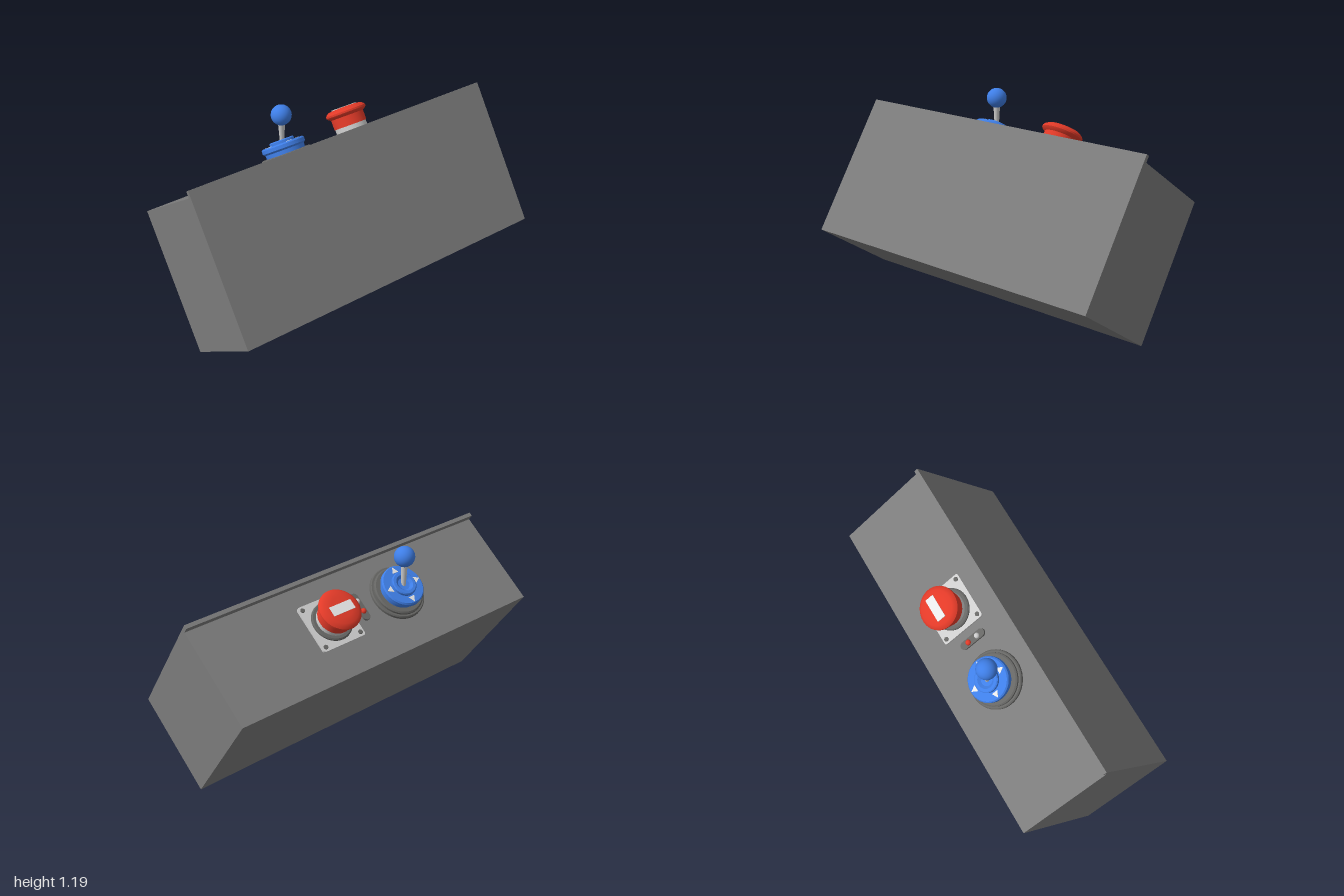
import * as THREE from 'three';
import { toCreasedNormals } from 'three/addons/utils/BufferGeometryUtils.js';

const material = (name, color) => {
  const m = new THREE.MeshStandardMaterial({ color });
  m.name = name;
  return m;
};

export function createModel() {
  const gray = material('case gray', 0x7c7c7c);
  const darkGray = material('dark gray', 0x666664);
  const light = material('light metal', 0xcccccc);
  const blue = material('blue plastic', 0x3f7fe8);
  const red = material('red plastic', 0xe23a28);
  const white = material('white print', 0xf0f0f0);

  const add = (parent, name, geometry, mat, x = 0, y = 0, z = 0) => {
    const mesh = new THREE.Mesh(geometry, mat);
    mesh.name = name;
    mesh.position.set(x, y, z);
    parent.add(mesh);
    return mesh;
  };
  const group = (parent, name, x, y, z) => {
    const g = new THREE.Group();
    g.name = name;
    g.position.set(x, y, z);
    parent.add(g);
    return g;
  };
  // Round part from a profile of [radius, height] pairs, bottom to top
  const turned = (profile, sides = 48) => toCreasedNormals(
    new THREE.LatheGeometry(profile.map(([r, y]) => new THREE.Vector2(r, y)), sides), 0.5);
  // Flat shape in the xz plane, extruded upwards
  const slab = (shape, depth) => new THREE.ExtrudeGeometry(shape, { depth, bevelEnabled: false, curveSegments: 16 })
    .rotateX(-Math.PI / 2);

  const model = new THREE.Group();
  model.name = 'controlBox';
  const TILT = 0.583;
  const TOP = 0.83;
  const MID = 0.327;

  // Everything sits in a case tipped back on its rear lower edge
  const tipped = group(model, 'tippedCase', 0, 0, -0.022);
  tipped.rotation.x = -TILT;

  // Case: side profile with a raised lip along the front
  const side = new THREE.Shape();
  side.moveTo(0, 0);
  for (const [z, y] of [[0.6, 0], [0.6, 0.868], [0.577, 0.868], [0.577, TOP], [0, TOP]]) side.lineTo(z, y);
  side.closePath();
  const caseGeometry = new THREE.ExtrudeGeometry(side, { depth: 2, bevelEnabled: false });
  caseGeometry.rotateY(-Math.PI / 2).translate(1, 0, 0);
  add(tipped, 'case', caseGeometry, gray);

  // Joystick: stepped base, blue dial, arrows, upright stick and ball
  const joystick = group(tipped, 'joystick', -0.24, TOP, MID);
  add(joystick, 'joystickBase', turned([
    [0.162, 0], [0.162, 0.014], [0.156, 0.02], [0.146, 0.02], [0.146, 0.032], [0.138, 0.038], [0, 0.038],
  ]), darkGray);
  add(joystick, 'joystickDial', turned([
    [0.112, 0.03], [0.114, 0.06], [0.125, 0.07], [0.125, 0.09], [0.118, 0.098], [0.072, 0.098],
    [0.072, 0.112], [0.066, 0.117], [0.05, 0.117], [0.035, 0.104], [0, 0.1],
  ]), blue);
  const arrow = new THREE.Shape();
  arrow.moveTo(-0.02, 0.08);
  arrow.lineTo(0.02, 0.08);
  arrow.lineTo(0, 0.116);
  arrow.closePath();
  const arrowGeometry = slab(arrow, 0.003);
  for (let i = 0; i < 4; i++) {
    add(joystick, 'joystickArrow', arrowGeometry, white, 0, 0.097, 0).rotation.y = i * Math.PI / 2;
  }
  const stick = group(joystick, 'stick', 0, 0.1, 0);
  stick.rotation.x = TILT;
  add(stick, 'stickShaft', new THREE.CylinderGeometry(0.02, 0.012, 0.14, 24), light, 0, 0.065, 0);
  add(stick, 'stickBall', new THREE.SphereGeometry(0.058, 32, 24), blue, 0, 0.173, 0);

  // Push button: square plate with screws, collar and mushroom head
  const button = group(tipped, 'pushButton', 0.232, TOP, MID - 0.006);
  const h = 0.142, c = 0.015;
  const plate = new THREE.Shape();
  plate.moveTo(-h + c, -h);
  plate.absarc(h - c, -h + c, c, -Math.PI / 2, 0);
  plate.absarc(h - c, h - c, c, 0, Math.PI / 2);
  plate.absarc(-h + c, h - c, c, Math.PI / 2, Math.PI);
  plate.absarc(-h + c, -h + c, c, Math.PI, Math.PI * 1.5);
  add(button, 'buttonPlate', slab(plate, 0.014), light);
  for (const x of [-1, 1]) for (const z of [-1, 1]) {
    add(button, 'plateScrew', new THREE.CylinderGeometry(0.013, 0.013, 0.008, 16), darkGray, x * 0.118, 0.014, z * 0.118);
  }
  add(button, 'buttonRing', turned([[0.117, 0.01], [0.117, 0.022], [0.11, 0.028], [0.09, 0.028]]), darkGray);
  add(button, 'buttonCollar', turned([[0.094, 0.01], [0.094, 0.062], [0, 0.062]]), light);
  add(button, 'buttonHead', turned([
    [0, 0.06], [0.098, 0.06], [0.098, 0.118], [0.114, 0.128], [0.12, 0.136], [0.12, 0.146],
    [0.113, 0.155], [0.097, 0.166], [0.06, 0.17], [0, 0.171],
  ]), red);
  add(button, 'buttonLabel', new THREE.BoxGeometry(0.14, 0.005, 0.055), white, 0, 0.1705, -0.005);

  // Indicator: rounded strip with two lamps
  const indicator = group(tipped, 'indicator', 0.02, TOP, 0.335);
  const strip = new THREE.Shape();
  strip.absarc(0, 0.062, 0.023, 0, Math.PI);
  strip.absarc(0, -0.062, 0.023, Math.PI, Math.PI * 2);
  strip.closePath();
  add(indicator, 'indicatorStrip', slab(strip, 0.012), darkGray);
  const lamp = new THREE.SphereGeometry(0.016, 20, 8, 0, Math.PI * 2, 0, Math.PI / 2);
  add(indicator, 'redLamp', lamp, red, 0, 0.012, -0.03);
  add(indicator, 'clearLamp', lamp, light, 0, 0.012, 0.034);

  return model;
}
